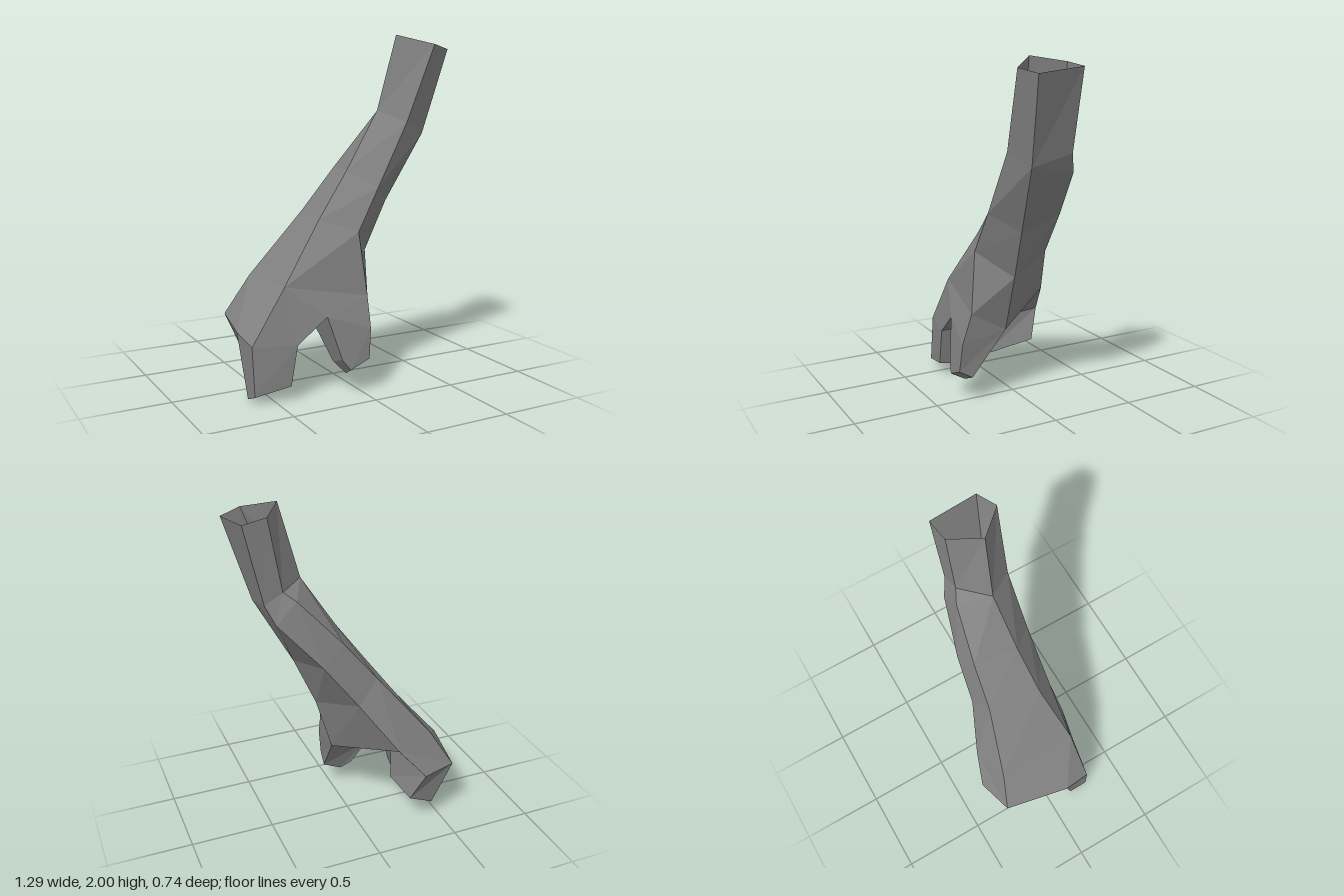
import * as THREE from 'three';

const material = new THREE.MeshStandardMaterial({
  color: 0x828282, flatShading: true, side: THREE.DoubleSide,
});

// Triangle soup to mesh, dropping triangles with repeated corners
function makeMesh(name, triangles) {
  const solid = triangles.filter(([a, b, c]) => a !== b && b !== c && c !== a);
  const geometry = new THREE.BufferGeometry();
  geometry.setAttribute('position', new THREE.Float32BufferAttribute(solid.flat(2), 3));
  geometry.computeVertexNormals();
  const mesh = new THREE.Mesh(geometry, material);
  mesh.name = name;
  return mesh;
}

// Wall between an upper and a lower loop, both counter-clockwise from above
function strip(upper, lower) {
  return upper.flatMap((a, i) => {
    const j = (i + 1) % upper.length;
    return [[a, lower[i], upper[j]], [lower[i], lower[j], upper[j]]];
  });
}

// Walls through a list of loops
function loft(loops) {
  return loops.slice(1).flatMap((loop, i) => strip(loops[i], loop));
}

function fan(...p) {
  return p.slice(2).map((c, i) => [p[0], p[i + 1], c]);
}

// Finger: walls from knuckle loop to tip loop, closed at the tip
function finger(name, ...loops) {
  return makeMesh(name, [...loft(loops), ...fan(...[...loops.at(-1)].reverse())]);
}

export function createModel() {
  const group = new THREE.Group();
  group.name = 'clawedArm';

  // Arm cross-sections from the open top end to the wrist
  const top = [[0.36, 2.0, 0.10], [0.52, 1.945, 0.26], [0.645, 1.92, 0.21], [0.61, 1.95, -0.08], [0.47, 1.97, -0.065]];
  const bend = [[0.25, 1.565, 0.075], [0.358, 1.505, 0.23], [0.505, 1.435, 0.165], [0.51, 1.495, -0.08], [0.40, 1.55, -0.07]];
  // The bend is doubled on the back side only
  const bendBack = [...bend.slice(0, 3), [0.46, 1.385, -0.12], [0.335, 1.50, -0.105]];
  const middle = [[0.035, 1.235, 0.105], [0.16, 1.14, 0.245], [0.295, 1.045, 0.105], [0.215, 1.11, -0.19], [0.08, 1.22, -0.15]];
  const lower = [[-0.165, 0.965, 0.14], [0.025, 0.90, 0.26], [0.17, 0.755, 0.08], [0.015, 0.845, -0.215], [-0.115, 0.98, -0.17]];
  const wrist = [[-0.42, 0.625, 0.225], [0.06, 0.54, 0.30], [0.07, 0.42, 0.085], [-0.20, 0.545, -0.315], [-0.425, 0.60, -0.255]];
  group.add(makeMesh('arm', loft([top, bend, bendBack, middle, lower, wrist])));

  // Knuckle and web points shared by the hand and the fingers
  const [w0, w1, w2, w3, w4] = wrist;
  const knuckleFront = [-0.625, 0.32, 0.245];
  const knuckleMid = [-0.645, 0.365, 0.08];
  const knuckleBack = [-0.565, 0.37, -0.31];
  const heel = [-0.355, 0.365, -0.37];
  const fingerWeb = [-0.335, 0.335, 0.08];
  const frontWeb = [-0.375, 0.31, 0.295];
  const thumbWeb = [-0.20, 0.45, 0.31];
  const thumbWebInner = [-0.19, 0.35, 0.145];
  const thumbKnuckle = [0.052, 0.365, 0.355];

  group.add(makeMesh('hand', [
    ...fan(w4, knuckleBack, knuckleMid, w0), // back of hand
    ...fan(w0, knuckleMid, knuckleFront),
    ...fan(w0, knuckleFront, frontWeb, thumbWeb, w1), // front side
    ...fan(w3, heel, knuckleBack, w4), // rear side
    ...fan(w3, w2, thumbWebInner, fingerWeb, heel), // palm
    ...fan(thumbWeb, frontWeb, fingerWeb, thumbWebInner), // web underside
  ]));

  group.add(finger('frontFinger',
    [knuckleFront, frontWeb, fingerWeb, knuckleMid],
    [[-0.62, 0.045, 0.265], [-0.415, 0.085, 0.295], [-0.40, 0.06, 0.15], [-0.615, 0, 0.155]]));

  group.add(finger('backFinger',
    [knuckleMid, fingerWeb, heel, knuckleBack],
    [[-0.52, 0.09, 0.025], [-0.31, 0.13, 0.025], [-0.29, 0.18, -0.30], [-0.45, 0.10, -0.28]]));

  group.add(finger('thumb',
    [w1, w2, thumbWebInner, thumbWebInner, thumbWeb, thumbWeb],
    [thumbKnuckle, w2, thumbWebInner, thumbWebInner, thumbWeb, thumbWeb],
    [[0.035, 0.195, 0.37], [0.045, 0.15, 0.29], [-0.07, 0.10, 0.285],
      [-0.125, 0.165, 0.235], [-0.13, 0.205, 0.355], [-0.085, 0.145, 0.37]]));

  return group;
}
